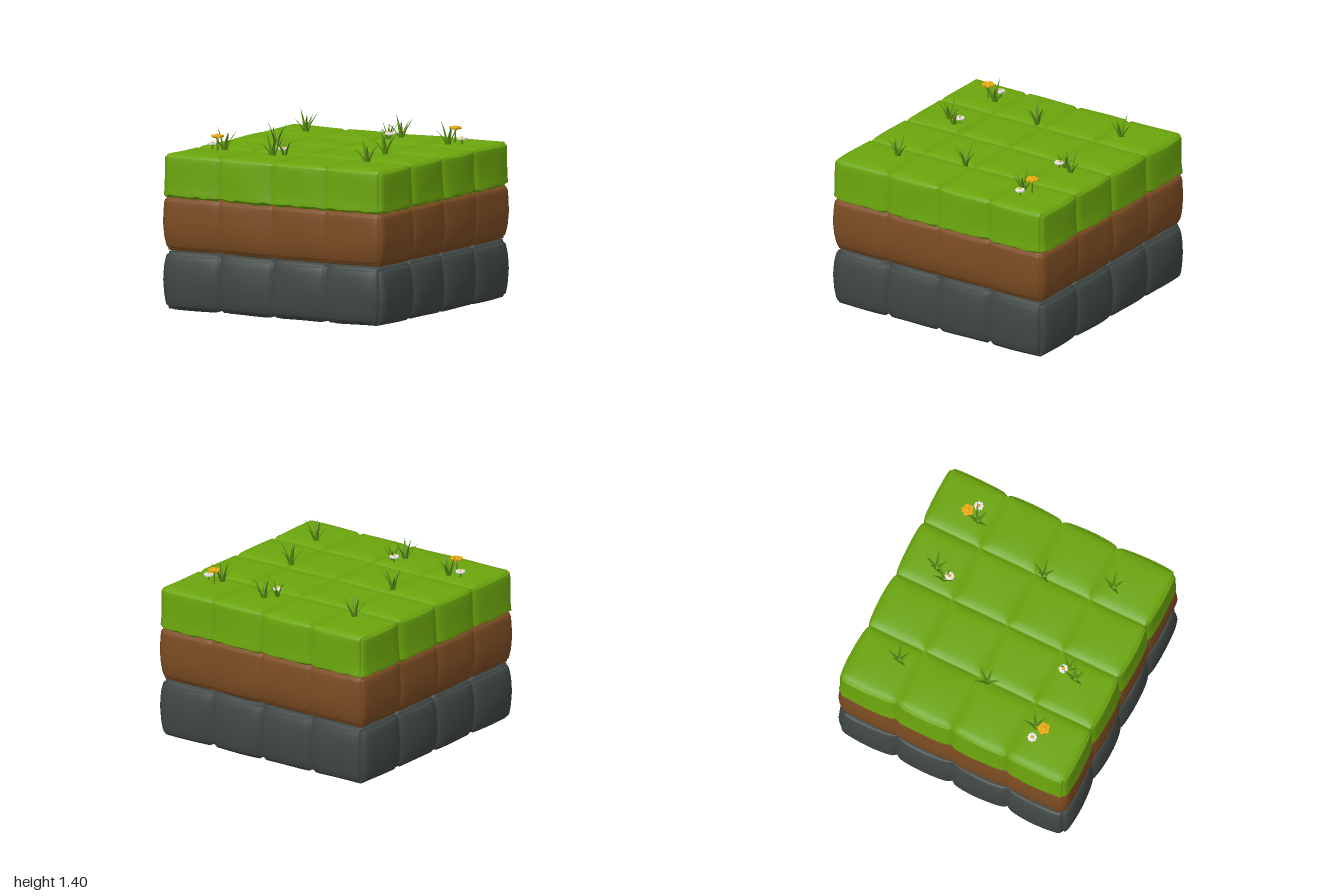
import * as THREE from 'three';
import { mergeVertices } from 'three/addons/utils/BufferGeometryUtils.js';

const mat = (name, color) => new THREE.MeshStandardMaterial({ name, color });

const TILE_EDGES = [-0.97, -0.47, 0, 0.47, 0.97];
const SEG = 12; // segments per tile

// Grid coordinate -1..1 -> world position and position t (-1..1) within its tile
function tileCoord(u) {
  const f = (u + 1) * 2;
  const i = Math.min(3, Math.max(0, Math.floor(f + 1e-5)));
  const t = Math.sin((Math.min(1, Math.max(0, f - i)) - 0.5) * Math.PI);
  const a = TILE_EDGES[i], b = TILE_EDGES[i + 1];
  // seams belong to both neighbours, so the relief only uses |t|
  return { p: (a + b) / 2 + t * (b - a) / 2, t: Math.abs(t) };
}

// Interpolate an evenly spaced profile at v = -1..1
function sample(profile, v) {
  const f = (v + 1) / 2 * (profile.length - 1);
  const i = Math.min(profile.length - 2, Math.floor(f));
  return THREE.MathUtils.lerp(profile[i], profile[i + 1], f - i);
}

// A rounded slab with pillow-like tiles, narrow seams and a bulging side profile
function slabGeometry({ y0, y1, radius, profile, seam, pillow, ragged = 0 }) {
  let geo = new THREE.BoxGeometry(2, 2, 2, SEG * 4, 14, SEG * 4);
  geo.deleteAttribute('uv');
  geo.deleteAttribute('normal');
  geo = mergeVertices(geo, 1e-4);
  const pos = geo.attributes.position;
  const half = 0.97, hy = (y1 - y0) / 2, cy = (y0 + y1) / 2;
  const relief = (t) => -seam * t ** 14 - pillow * t * t;
  const lo = new THREE.Vector3(-half + radius, -hy + radius, -half + radius);
  const hi = lo.clone().negate();
  const p = new THREE.Vector3(), q = new THREE.Vector3(), n = new THREE.Vector3();
  for (let i = 0; i < pos.count; i++) {
    const x = tileCoord(pos.getX(i)), z = tileCoord(pos.getZ(i));
    const v = Math.sin(pos.getY(i) * Math.PI / 2);
    p.set(x.p, v * hy, z.p);
    q.copy(p).clamp(lo, hi);
    n.copy(p).sub(q).normalize();
    const lump = 0.004 * Math.sin(x.p * 7 + z.p * 4 + v * 2) * Math.cos(z.p * 6 - x.p * 3);
    const out = sample(profile, v) + lump;
    p.copy(q).addScaledVector(n, radius);
    p.x += n.x * (out + relief(z.t));
    p.z += n.z * (out + relief(x.t));
    p.y += n.y * (lump + Math.min(relief(x.t), relief(z.t)));
    // uneven lower fringe
    const low = Math.max(0, -v - 0.4) / 0.6;
    p.y += low * ragged * (Math.sin(x.p * 31 + z.p * 23) + Math.sin(x.p * 53 - z.p * 41 + 1));
    pos.setXYZ(i, p.x, p.y + cy, p.z);
  }
  geo.computeVertexNormals();
  return geo;
}

// Curved tapering blade, leaning towards +x
function bladeGeometry(height, lean, width) {
  const geo = new THREE.ConeGeometry(1, 1, 4, 5, true);
  const pos = geo.attributes.position;
  for (let i = 0; i < pos.count; i++) {
    const t = pos.getY(i) + 0.5;
    const swell = width * (0.75 + 0.9 * t);
    pos.setXYZ(i, pos.getX(i) * swell * 0.45 + lean * t ** 1.6, t * height, pos.getZ(i) * swell);
  }
  geo.computeVertexNormals();
  return geo;
}

function grassTuft(x, z, turn, scale, material) {
  const tuft = new THREE.Group();
  tuft.name = 'grassTuft';
  const heights = [0.17, 0.14, 0.19, 0.13, 0.16];
  const leans = [0.085, 0.09, 0.055, 0.095, 0.075];
  heights.forEach((h, i) => {
    const blade = new THREE.Mesh(bladeGeometry(h, leans[i], 0.018), material);
    blade.name = 'grassBlade';
    const a = turn + i * Math.PI * 2 / 5;
    blade.rotation.y = a;
    blade.position.set(Math.cos(a) * 0.012, 0, -Math.sin(a) * 0.012);
    tuft.add(blade);
  });
  tuft.scale.setScalar(scale);
  tuft.position.set(x, 1.21, z);
  return tuft;
}

// Flower with a scalloped head, a domed centre and a stem
function flower(name, x, z, topY, radius, petals, petalMat, centreMat, stemMat) {
  const group = new THREE.Group();
  group.name = name;
  const base = 1.2, h = topY - base;
  const stem = new THREE.Mesh(new THREE.CylinderGeometry(0.006, 0.008, h, 6), stemMat);
  stem.name = 'stem';
  stem.position.y = h / 2 - 0.01;
  const shape = new THREE.Shape();
  for (let i = 0; i <= 60; i++) {
    const a = i / 60 * Math.PI * 2;
    const r = radius * (0.74 + 0.26 * Math.abs(Math.sin(a * petals / 2)));
    shape[i ? 'lineTo' : 'moveTo'](Math.cos(a) * r, Math.sin(a) * r);
  }
  const head = new THREE.Mesh(new THREE.ExtrudeGeometry(shape, {
    depth: 0.008, bevelEnabled: true, bevelThickness: 0.005, bevelSize: 0.004, bevelSegments: 2,
  }), petalMat);
  head.name = 'petals';
  head.rotation.x = -Math.PI / 2;
  head.position.y = h - 0.013;
  const centre = new THREE.Mesh(new THREE.SphereGeometry(radius * 0.38, 12, 8), centreMat);
  centre.name = 'flowerCentre';
  centre.scale.y = 0.5;
  centre.position.y = h;
  group.add(stem, head, centre);
  group.position.set(x, base, z);
  return group;
}

export function createModel() {
  const root = new THREE.Group();
  root.name = 'terrainBlock';
  const grass = mat('grass green', 0x6ba50c);
  const dirt = mat('soil brown', 0x7b4c22);
  const stone = mat('stone grey', 0x3f4744);
  const blade = mat('blade green', 0x5c8f14);
  const yellow = mat('flower yellow', 0xf0b010);
  const white = mat('petal white', 0xeeeeee);

  // Three stacked layers
  const layers = [
    ['stoneLayer', stone, { y0: 0.005, y1: 0.49, radius: 0.045, seam: 0.022, pillow: 0.022,
      profile: [0.0, 0.025, 0.032, 0.022, -0.01] }],
    ['soilLayer', dirt, { y0: 0.47, y1: 0.9, radius: 0.04, seam: 0.012, pillow: 0.008,
      profile: [-0.02, 0.01, 0.018, 0.012, 0.0] }],
    ['grassLayer', grass, { y0: 0.87, y1: 1.233, radius: 0.035, seam: 0.02, pillow: 0.014,
      profile: [0.024, 0.012, 0.008, 0.006, 0.0], ragged: 0.005 }],
  ];
  for (const [name, material, spec] of layers) {
    const mesh = new THREE.Mesh(slabGeometry(spec), material);
    mesh.name = name;
    root.add(mesh);
  }

  // Grass tufts: x, z, turn, scale
  const tufts = [
    [-0.63, -0.61, 0.3, 1], [0.11, -0.6, 0.8, 0.85], [0.17, -0.69, 0.2, 1],
    [0.65, -0.58, 0.5, 1], [-0.49, 0.07, 1.1, 1], [0.48, 0.07, 0.1, 1],
    [-0.65, 0.57, 0.6, 1], [-0.11, 0.58, 0.9, 0.85], [-0.17, 0.66, 0.4, 1],
    [0.63, 0.59, 0.2, 1],
  ];
  for (const [x, z, turn, scale] of tufts) root.add(grassTuft(x, z, turn, scale, blade));

  // Flowers
  for (const [x, z] of [[0.66, -0.67], [-0.67, 0.645]])
    root.add(flower('yellowFlower', x, z, 1.35, 0.046, 5, yellow, yellow, blade));
  for (const [x, z] of [[0.75, -0.62], [0.14, -0.565], [-0.75, 0.585], [-0.145, 0.55]])
    root.add(flower('whiteFlower', x, z, 1.28, 0.034, 8, white, yellow, blade));

  return root;
}
